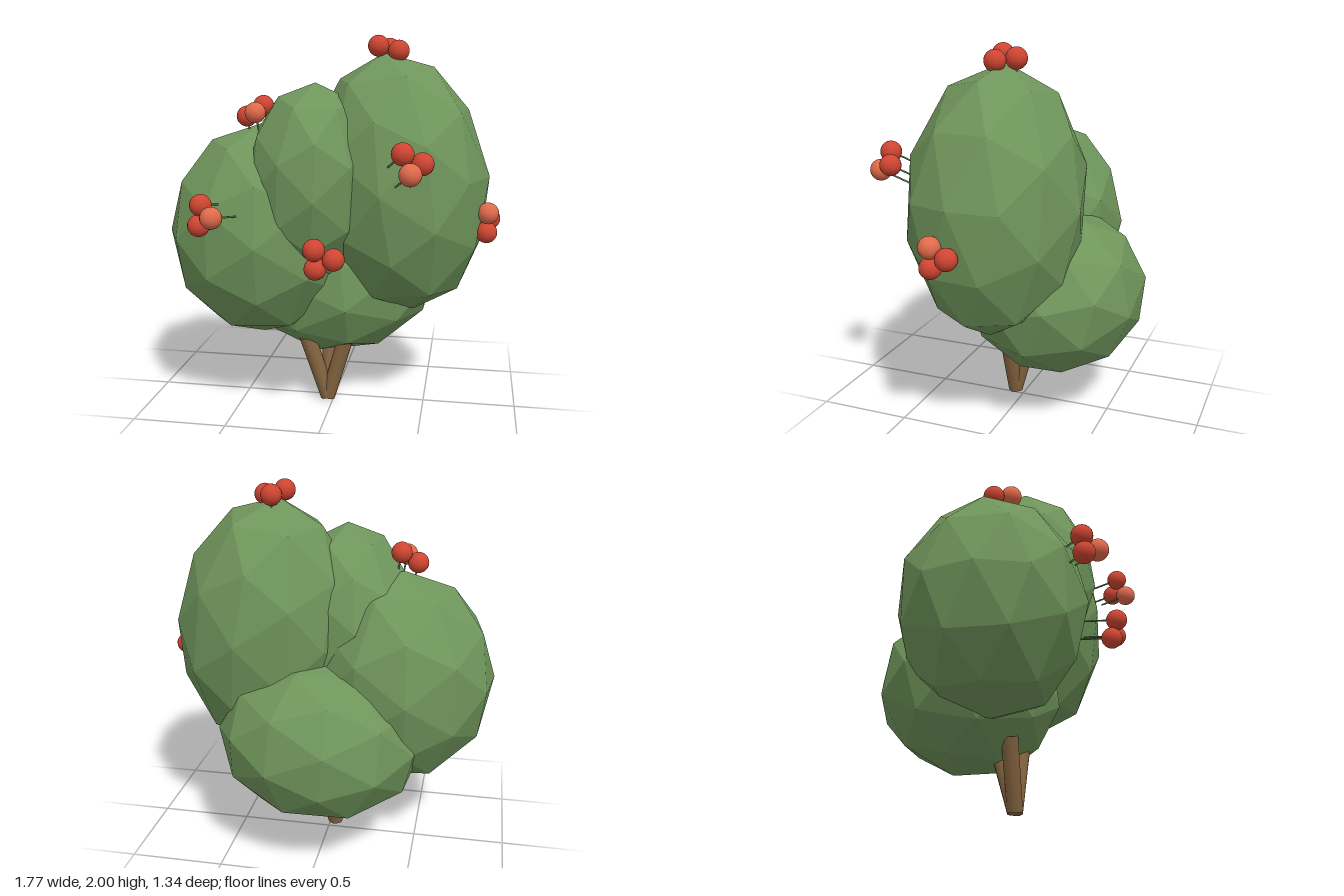
import * as THREE from 'three';

const material = (name, color, flatShading = false) => {
  const m = new THREE.MeshStandardMaterial({ color, flatShading });
  m.name = name;
  return m;
};

// Tapered round rod between two points
function rod(name, from, to, r0, r1, sides, mat) {
  const a = new THREE.Vector3(...from), b = new THREE.Vector3(...to);
  const dir = b.clone().sub(a);
  const mesh = new THREE.Mesh(new THREE.CylinderGeometry(r1, r0, dir.length(), sides), mat);
  mesh.name = name;
  mesh.position.copy(a).add(b).multiplyScalar(0.5);
  mesh.quaternion.setFromUnitVectors(new THREE.Vector3(0, 1, 0), dir.normalize());
  return mesh;
}

export function createModel() {
  const tree = new THREE.Group();
  tree.name = 'berryTree';
  const leaf = material('leafGreen', 0x6f955b, true);
  const bark = material('barkBrown', 0x84643f);
  const red = material('berryRed', 0xcf4532);
  const coral = material('berryCoral', 0xe06a4b);
  const stemGreen = material('stemGreen', 0x67875a);

  // Faceted foliage: centre, radii, rotation
  const foliage = [
    ['rightCrown', [0.345, 1.22, 0.005], [0.48, 0.69, 0.455], [0, -0.12, 0.13]],
    ['leftCrown', [-0.39, 0.955, 0.05], [0.505, 0.58, 0.485], [0, 0.15, 0]],
    ['middleCrown', [-0.105, 1.23, 0.12], [0.355, 0.53, 0.4], [0.1, 0.2, -0.06]],
    ['lowerCrown', [0.0, 0.67, -0.2], [0.55, 0.445, 0.485], [0.2, 0.2, 0.06]],
  ];
  const blob = new THREE.IcosahedronGeometry(1, 1);
  for (const [name, p, s, r] of foliage) {
    const mesh = new THREE.Mesh(blob, leaf);
    mesh.name = name;
    mesh.position.set(...p);
    mesh.scale.set(...s);
    mesh.rotation.set(...r);
    tree.add(mesh);
  }

  // Three trunk limbs fanning out from one foot: two in front, one behind
  const limbs = [[-0.145, 0.36, 0.065], [0.07, 0.36, 0.065], [-0.03, 0.36, -0.035]];
  limbs.forEach((top, i) =>
    tree.add(rod('trunkLimb' + (i + 1), [-0.03, 0.01, 0.057], top, 0.041, 0.045, 10, bark)));

  // Berry clusters: stem offset, then three berries (the last flag marks a coral one)
  const clusters = [
    ['leftFrontBerries', [0.085, -0.015, -0.13],
      [[-0.57, 1.18, 0.56], [-0.58, 1.08, 0.57], [-0.5, 1.13, 0.62, 1]]],
    ['centreBerries', [-0.015, 0.01, -0.17],
      [[0, 0.99, 0.61], [0, 0.89, 0.58], [0.09, 0.94, 0.585]]],
    ['rightFrontBerries', [-0.08, -0.08, -0.13],
      [[0.41, 1.45, 0.56], [0.5, 1.4, 0.515], [0.45, 1.36, 0.6, 1]]],
    ['sideBerries', [-0.1, 0, 0],
      [[0.815, 1.105, 0.145, 1], [0.825, 1.06, 0.055], [0.81, 1.005, 0.145]]],
    ['topBerries', [0, -0.1, 0],
      [[0.23, 1.94, 0.015], [0.28, 1.925, -0.075], [0.335, 1.915, 0.015]]],
    ['upperLeftBerries', [0.02, -0.11, 0],
      [[-0.46, 1.575, 0.08], [-0.375, 1.63, 0.055], [-0.395, 1.6, 0.155, 1]]],
  ];
  const ball = new THREE.SphereGeometry(0.055, 20, 14);
  for (const [name, offset, berries] of clusters) {
    const group = new THREE.Group();
    group.name = name;
    for (const [x, y, z, isCoral] of berries) {
      const berry = new THREE.Mesh(ball, isCoral ? coral : red);
      berry.name = 'berry';
      berry.position.set(x, y, z);
      const end = [x + offset[0], y + offset[1], z + offset[2]];
      group.add(berry, rod('berryStem', [x, y, z], end, 0.005, 0.005, 6, stemGreen));
    }
    tree.add(group);
  }
  return tree;
}
